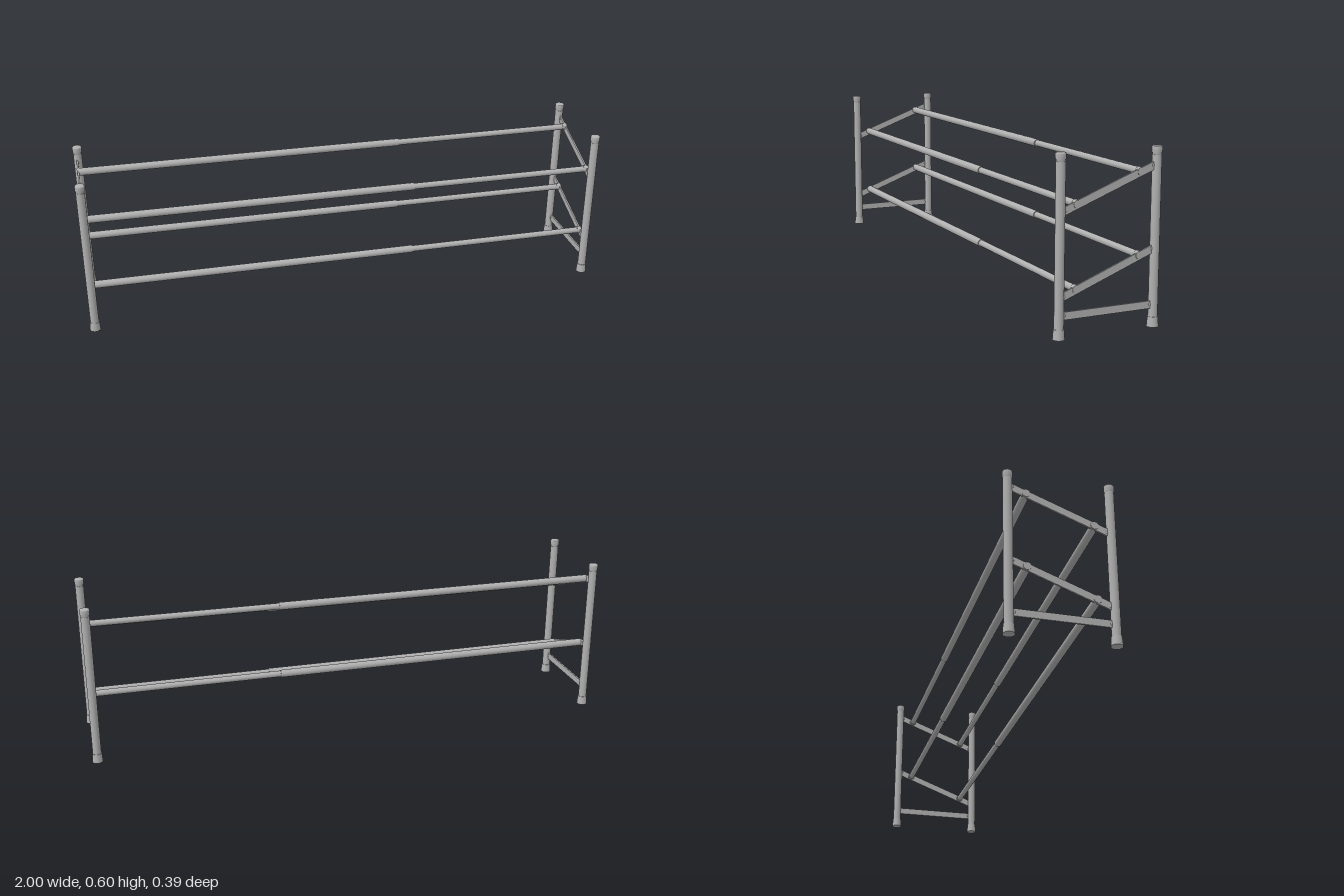
import * as THREE from 'three';

export function createModel() {
  const rack = new THREE.Group();
  rack.name = 'shoeRack';
  const steel = new THREE.MeshStandardMaterial({ color: 0xb0b0b0 });
  steel.name = 'greySteel';

  const add = (geometry, name, x, y, z) => {
    const mesh = new THREE.Mesh(geometry, steel);
    mesh.name = name;
    mesh.position.set(x, y, z);
    rack.add(mesh);
    return mesh;
  };

  // Tube lying along x between two ends
  const rod = (name, x0, x1, radius, y, z) => {
    const geometry = new THREE.CylinderGeometry(radius, radius, x1 - x0, 24);
    geometry.rotateZ(Math.PI / 2);
    return add(geometry, name, (x0 + x1) / 2, y, z);
  };

  // Thin flat bar joining the front and back posts, with its end rivets
  const sideBar = (name, x, yFront, yBack) => {
    const dz = 0.166;
    const angle = Math.atan2(yBack - yFront, 2 * dz);
    const length = Math.hypot(2 * dz, yBack - yFront);
    const bar = add(new THREE.BoxGeometry(0.006, 0.026, length), name, x, (yFront + yBack) / 2, 0);
    bar.rotation.x = angle;
    for (const s of [-1, 1]) {
      const rivet = new THREE.SphereGeometry(0.007, 12, 8);
      rivet.scale(0.7, 1, 0.8);
      add(rivet, 'barRivet', x, s > 0 ? yFront : yBack, s * 0.159);
    }
  };

  const postX = 0.98, postZ = 0.175;
  for (const sx of [-1, 1]) {
    for (const sz of [-1, 1]) {
      const x = sx * postX, z = sz * postZ;
      add(new THREE.CylinderGeometry(0.016, 0.016, 0.55, 24), 'post', x, 0.295, z);
      add(new THREE.CylinderGeometry(0.0175, 0.02, 0.034, 24), 'foot', x, 0.017, z);
      // Top plug with a narrow neck and rounded rim
      const profile = [[0, 0.56], [0.0152, 0.56], [0.0152, 0.576], [0.0172, 0.577],
        [0.0178, 0.594], [0.016, 0.598], [0, 0.599]].map(([r, y]) => new THREE.Vector2(r, y));
      add(new THREE.LatheGeometry(profile, 24), 'postCap', x, 0, z);
    }
    // Two sloping shelf supports and the level bottom brace
    sideBar('upperSupport', sx * 0.983, 0.411, 0.537);
    sideBar('lowerSupport', sx * 0.983, 0.137, 0.263);
    sideBar('bottomBrace', sx * 0.983, 0.0755, 0.0755);
  }

  // Telescopic shelf rods: wide sleeve on one side, thinner tube on the other
  for (const base of [0.158, 0.432]) {
    for (const [y, z] of [[base, 0.117], [base + 0.088, -0.114]]) {
      rod('outerRod', -0.978, 0.27, 0.0145, y, z);
      rod('innerRod', 0.25, 0.978, 0.0118, y, z);
      rod('rodEnd', -0.988, -0.97, 0.0142, y, z);
      rod('rodEnd', 0.97, 0.988, 0.0138, y, z);
    }
  }
  return rack;
}
